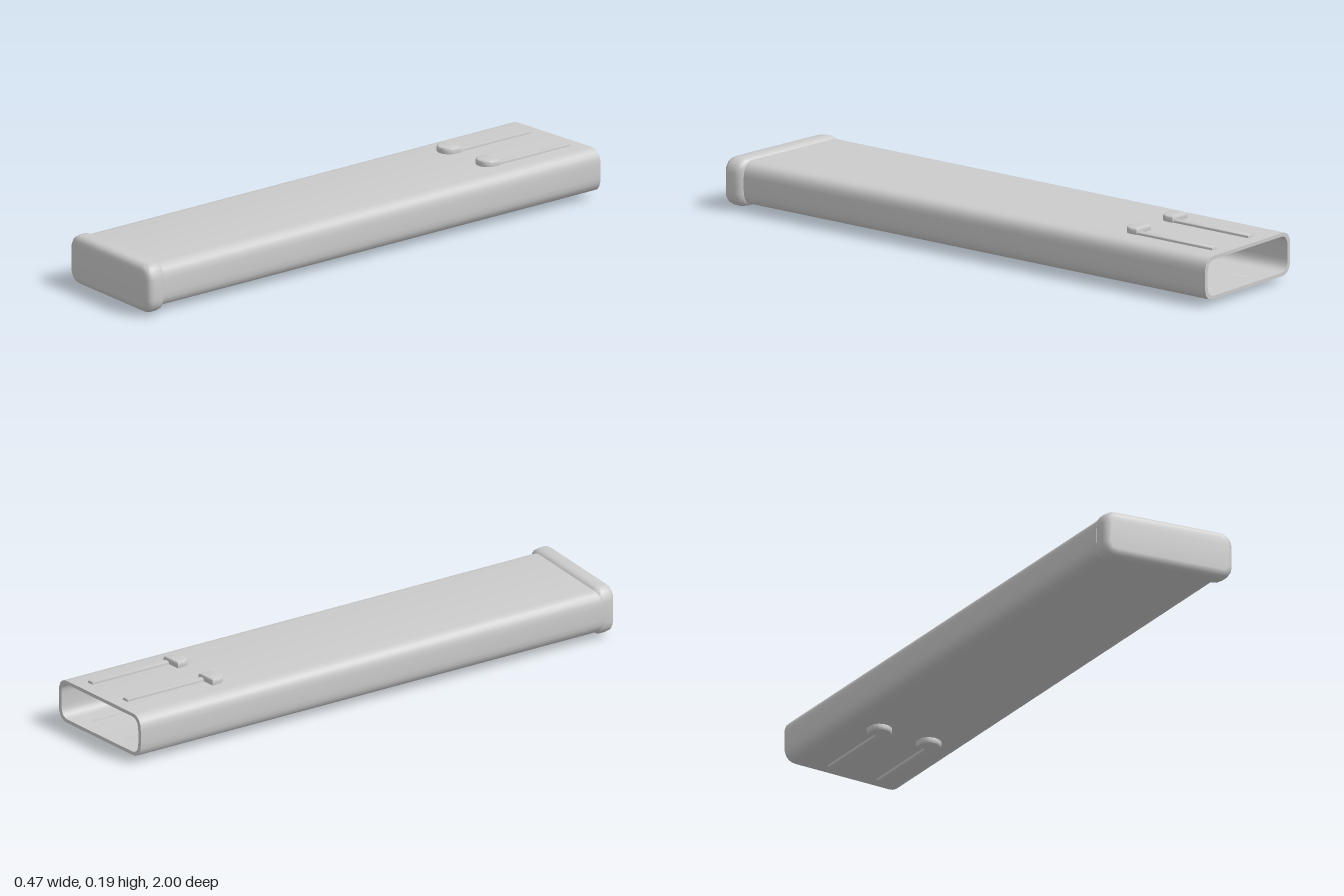
import * as THREE from 'three';
import { toCreasedNormals } from 'three/addons/utils/BufferGeometryUtils.js';

const MID_Y = 0.094;
const SLOPE = 0.135; // slant of the front end

// Oblong with softened corners, rx wide and ry high
function oblong(target, x0, x1, h, rx, ry) {
  const y0 = -h / 2, y1 = h / 2;
  target.moveTo(x0 + rx, y0);
  target.lineTo(x1 - rx, y0);
  target.quadraticCurveTo(x1, y0, x1, y0 + ry);
  target.lineTo(x1, y1 - ry);
  target.quadraticCurveTo(x1, y1, x1 - rx, y1);
  target.lineTo(x0 + rx, y1);
  target.quadraticCurveTo(x0, y1, x0, y1 - ry);
  target.lineTo(x0, y0 + ry);
  target.quadraticCurveTo(x0, y0, x0 + rx, y0);
  return target;
}

// Shift every vertex in front of zMin along z according to x
function slant(geometry, zMin) {
  const p = geometry.attributes.position;
  for (let i = 0; i < p.count; i++) {
    if (p.getZ(i) > zMin) p.setZ(i, p.getZ(i) + SLOPE * p.getX(i));
  }
  return geometry;
}

export function createModel() {
  const model = new THREE.Group();
  model.name = 'slantedCase';
  const material = new THREE.MeshStandardMaterial({ color: 0xcccccc });
  const add = (name, geometry, parent, crease = 0.7) => {
    const mesh = new THREE.Mesh(toCreasedNormals(geometry, crease), material);
    mesh.name = name;
    parent.add(mesh);
    return mesh;
  };

  // Hollow body, open at the back and cut at a slant at the front
  const section = oblong(new THREE.Shape(), -0.233, 0.218, 0.147, 0.045, 0.05);
  section.holes.push(oblong(new THREE.Path(), -0.219, 0.204, 0.123, 0.035, 0.04));
  const bodyGeo = new THREE.ExtrudeGeometry(section, { depth: 1.92, bevelEnabled: false, curveSegments: 5 });
  bodyGeo.translate(0, 0, -1);
  add('body', slant(bodyGeo, 0), model).position.y = MID_Y;

  // Rounded plate closing the front
  const bevel = 0.025;
  const plate = oblong(new THREE.Shape(), -0.232 + bevel, 0.235 - bevel, 0.166 - 2 * bevel, 0.025, 0.025);
  const plateGeo = new THREE.ExtrudeGeometry(plate, {
    depth: 0.025, bevelThickness: bevel, bevelSize: bevel, bevelSegments: 4, curveSegments: 4,
  });
  plateGeo.translate(0, 0, 0.968 - 0.025 - bevel);
  add('endPlate', slant(plateGeo, -1), model, 0.9).position.y = MID_Y;

  // Half-round stop, lying flat with its arc to the front
  const stopShape = new THREE.Shape();
  stopShape.moveTo(-0.032, 0.012);
  stopShape.lineTo(0.032, 0.012);
  stopShape.lineTo(0.032, -0.006);
  stopShape.absellipse(0, -0.006, 0.032, 0.026, 0, Math.PI, true);
  const stopGeo = new THREE.ExtrudeGeometry(stopShape, {
    depth: 0.016, bevelThickness: 0.007, bevelSize: 0.007, bevelSegments: 3, curveSegments: 12,
  });
  stopGeo.rotateX(-Math.PI / 2);

  // Narrow rib with sloped flanks and ends
  const ribShape = new THREE.Shape();
  ribShape.moveTo(-0.005, -0.155);
  ribShape.lineTo(0.005, -0.155);
  ribShape.lineTo(0.005, 0.155);
  ribShape.lineTo(-0.005, 0.155);
  const ribGeo = new THREE.ExtrudeGeometry(ribShape, {
    depth: 0.006, bevelThickness: 0.008, bevelSize: 0.008, bevelSegments: 3,
  });
  ribGeo.rotateX(-Math.PI / 2);

  // Two ribs with stops on the upper face, repeated on the lower face
  for (const side of ['upper', 'lower']) {
    const face = new THREE.Group();
    face.name = side + 'Guides';
    face.position.y = MID_Y;
    if (side === 'lower') face.scale.y = -1;
    for (const x of [-0.105, 0.087]) {
      add('stop', stopGeo, face).position.set(x, 0.071, -0.622);
      add('rib', ribGeo, face, 0.9).position.set(x + 0.022, 0.069, -0.79);
    }
    model.add(face);
  }
  return model;
}
